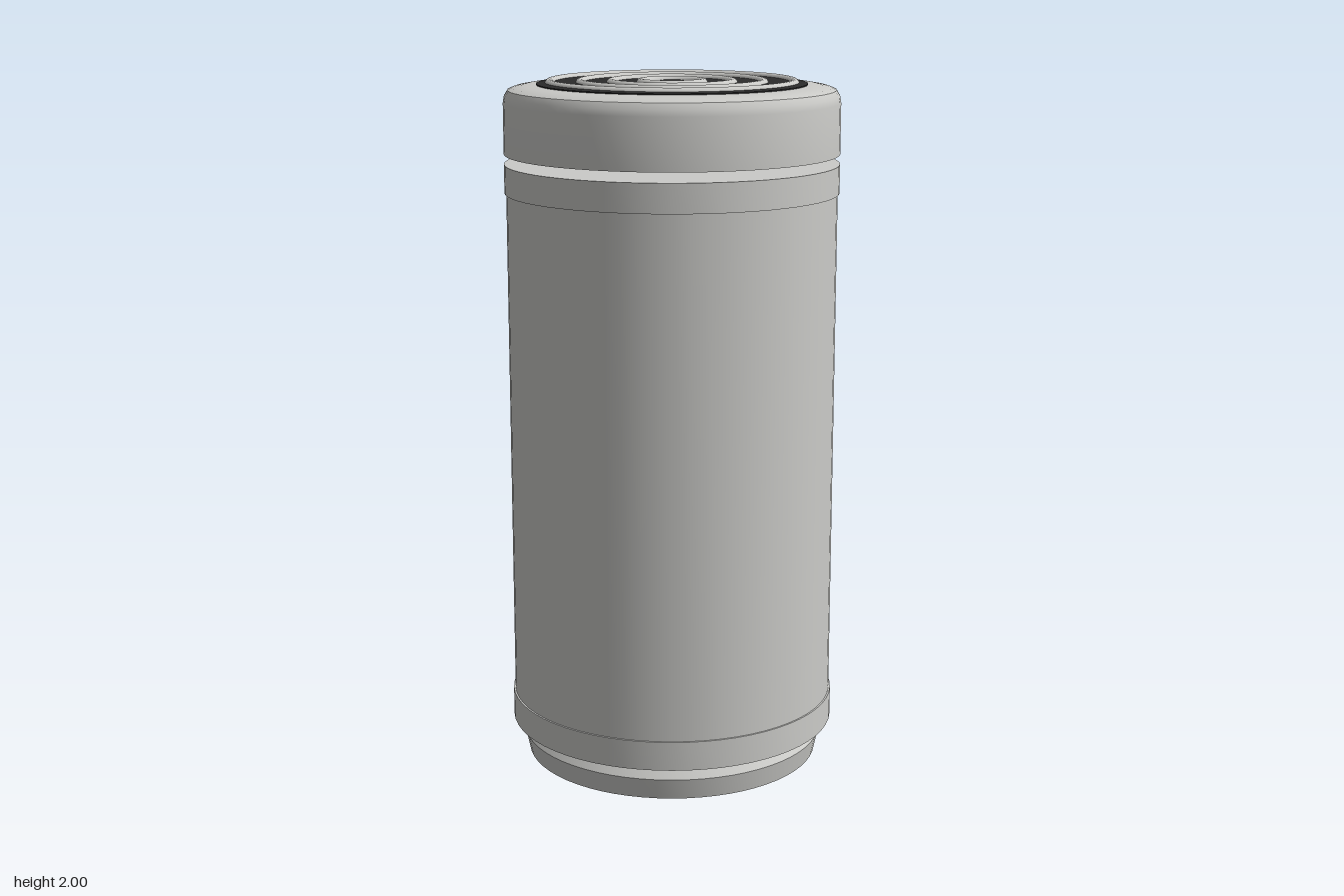
import * as THREE from 'three';
import { toCreasedNormals } from 'three/addons/utils/BufferGeometryUtils.js';

const SEGMENTS = 64;

// Closed turned part from [radius, height] pairs, listed from bottom to top
function turned(name, profile, material) {
  const points = profile.map(([r, y]) => new THREE.Vector2(r, y));
  const geometry = toCreasedNormals(new THREE.LatheGeometry(points, SEGMENTS), 0.42);
  const mesh = new THREE.Mesh(geometry, material);
  mesh.name = name;
  return mesh;
}

export function createModel() {
  const group = new THREE.Group();
  group.name = 'canister';
  const shell = new THREE.MeshStandardMaterial({ color: 0xcbcbc8 });
  shell.name = 'light grey shell';
  const dark = new THREE.MeshStandardMaterial({ color: 0x2b2b2b });
  dark.name = 'dark grille';

  // Foot flares out, then tapers in under the body
  group.add(turned('foot', [
    [0, 0], [0.432, 0], [0.445, 0.062], [0.41, 0.108], [0, 0.108],
  ], shell));

  // Body with a slightly wider band at each end
  group.add(turned('body', [
    [0, 0.105], [0.478, 0.105], [0.478, 0.19], [0.473, 0.19],
    [0.473, 1.68], [0.478, 1.68], [0.478, 1.762], [0, 1.762],
  ], shell));

  // Cap sits above a narrow open gap
  group.add(turned('cap', [
    [0, 1.79], [0.478, 1.79], [0.478, 1.935], [0.475, 1.953], [0.465, 1.97],
    [0.45, 1.976], [0.42, 1.981], [0.38, 1.984], [0, 1.984],
  ], shell));

  // Dark grille disc with raised concentric rings
  group.add(turned('grilleDisc', [
    [0, 1.98], [0.384, 1.98], [0.384, 1.987], [0.36, 1.99], [0, 1.99],
  ], dark));
  [0.088, 0.173, 0.26, 0.347].forEach((radius, i) => {
    const ring = new THREE.Mesh(new THREE.TorusGeometry(radius, 0.013, 16, SEGMENTS), shell);
    ring.name = `grilleRing${i + 1}`;
    ring.rotation.x = -Math.PI / 2;
    ring.position.y = 1.987;
    group.add(ring);
  });

  return group;
}
